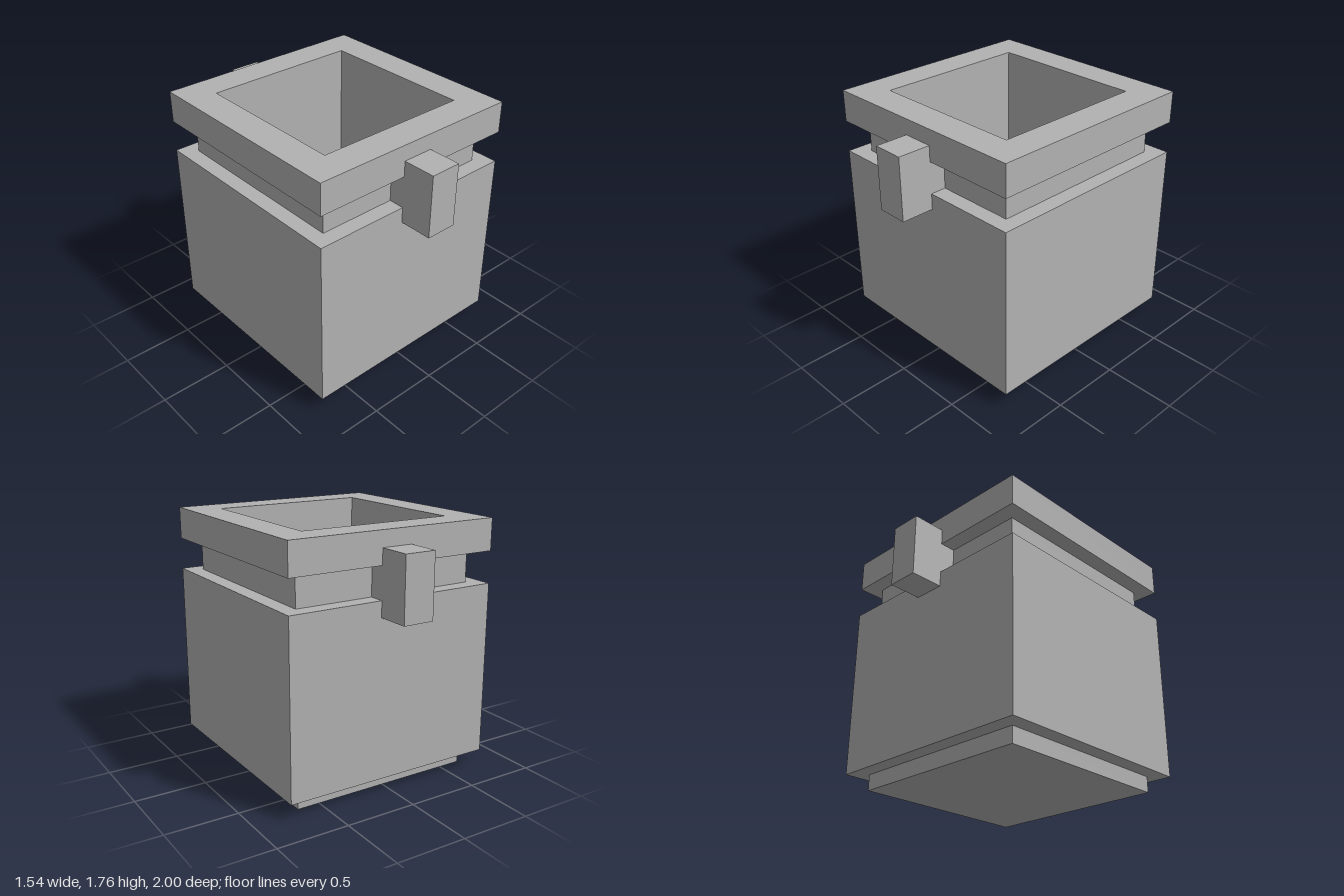
import * as THREE from 'three';

const U = 2 / 18.2; // one grid step of the blocky design

// Square slab of given half width, from y0 to y1, optionally with a square hole
function slab(half, y0, y1, hole) {
  const square = (C, h) => {
    const p = new C();
    p.moveTo(-h, -h);
    p.lineTo(h, -h);
    p.lineTo(h, h);
    p.lineTo(-h, h);
    p.closePath();
    return p;
  };
  const shape = square(THREE.Shape, half * U);
  if (hole) shape.holes.push(square(THREE.Path, hole * U));
  const geo = new THREE.ExtrudeGeometry(shape, { depth: (y1 - y0) * U, bevelEnabled: false });
  geo.rotateX(-Math.PI / 2);
  geo.translate(0, y0 * U, 0);
  return geo;
}

export function createModel() {
  const group = new THREE.Group();
  const clay = new THREE.MeshStandardMaterial({ color: 0xb2b2b2 });
  clay.name = 'grey clay';

  const add = (name, geo) => {
    const mesh = new THREE.Mesh(geo, clay);
    mesh.name = name;
    group.add(mesh);
    return mesh;
  };

  // Solid foot, then hollow body, neck and rim
  add('base', slab(6, 0, 1));
  add('body', slab(7, 1, 12, 5));
  add('neck', slab(6, 12, 14, 5));
  add('rim', slab(7, 14, 16, 5));

  // Lugs on front and back, rooted in the neck
  for (const [name, side] of [['frontHandle', 1], ['backHandle', -1]]) {
    const inner = 5.9, outer = 9.1;
    const handle = add(name, new THREE.BoxGeometry(2 * U, 4 * U, (outer - inner) * U));
    handle.position.set(0, 13 * U, side * (inner + outer) / 2 * U);
  }
  return group;
}
